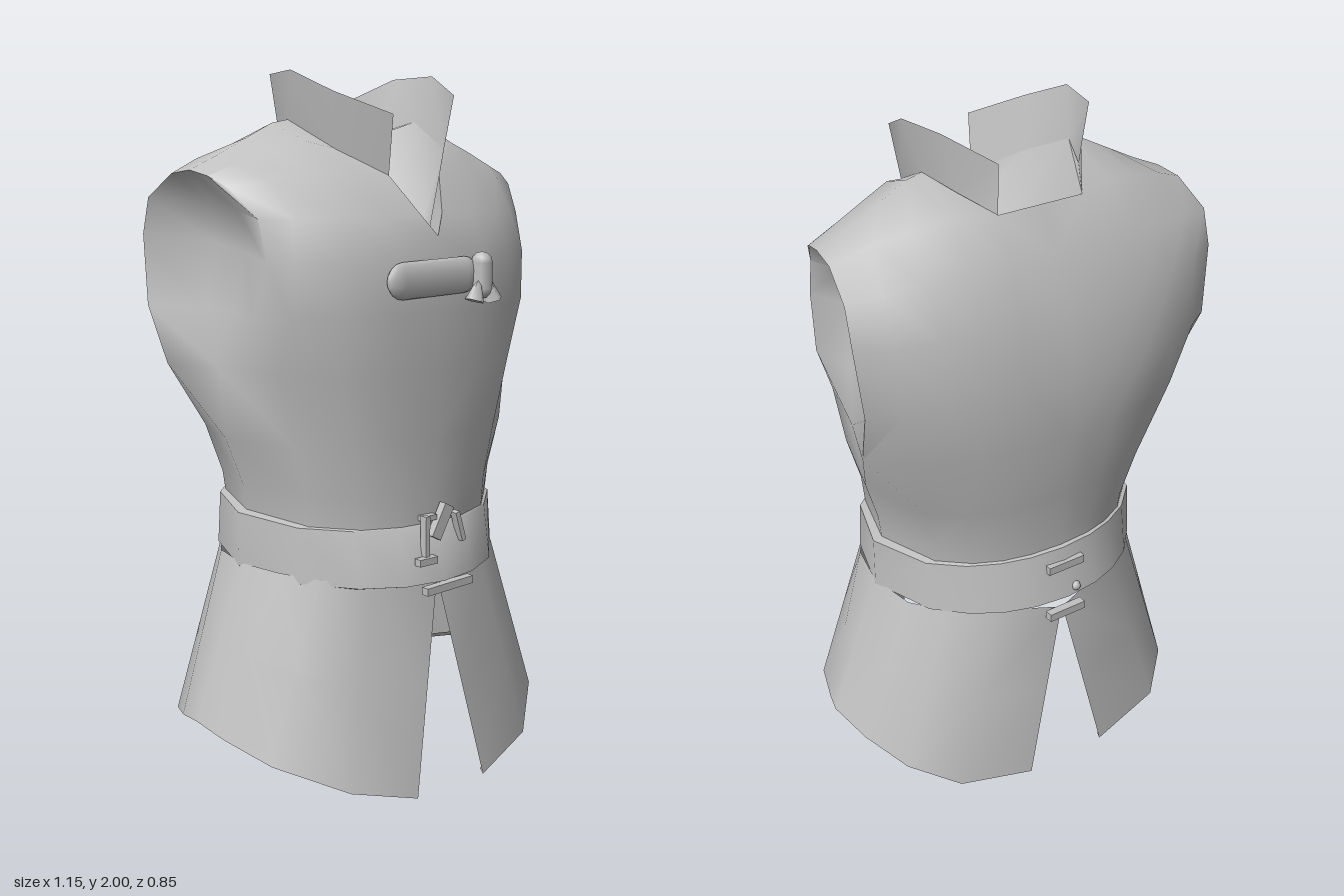
import * as THREE from 'three';
import { mergeVertices, toCreasedNormals } from 'three/addons/utils/BufferGeometryUtils.js';

const cloth = new THREE.MeshStandardMaterial({ color: 0xc0c0c0, side: THREE.DoubleSide });
cloth.name = 'grey cloth';

// Joins grids of points (each on the +x half) with their mirror images into one surface
function mirroredSurface(grids, crease) {
  const pos = [];
  for (const { rows, flip = false } of grids) {
    for (const side of [1, -1]) {
      const put = (p) => pos.push(p[0] * side, p[1], p[2]);
      const tri = (a, b, c) => ((side < 0) !== flip ? [a, c, b] : [a, b, c]).forEach(put);
      for (let r = 0; r + 1 < rows.length; r++) {
        for (let c = 0; c + 1 < rows[r].length; c++) {
          const [a, b, d, e] = [rows[r][c], rows[r][c + 1], rows[r + 1][c + 1], rows[r + 1][c]];
          tri(a, b, d);
          tri(a, d, e);
        }
      }
    }
  }
  const raw = new THREE.BufferGeometry();
  raw.setAttribute('position', new THREE.Float32BufferAttribute(pos, 3));
  const geo = mergeVertices(raw, 1e-4);
  geo.computeVertexNormals();
  return crease ? toCreasedNormals(geo, crease) : geo;
}

// Half ring around the body: front centre, +x side, back centre; n sets how square it is
function ring(y, w, zf, zb, n, s = -0.02, tilt = 0) {
  const point = (f, z) => {
    const depth = s + (z - s) * Math.pow(1 - Math.pow(f, n), 1 / n);
    return [w * f, y - depth * tilt, depth];
  };
  return [
    ...[0, 0.29, 0.58, 0.85, 1].map((f) => point(f, zf)),
    ...[0.85, 0.65, 0.45, 0.25, 0].map((f) => point(f, zb)),
  ];
}

const lerp = (a, b, t) => a.map((v, k) => v + (b[k] - v) * t);

export function createModel() {
  const model = new THREE.Group();
  const add = (name, geo, parent = model) => {
    const mesh = new THREE.Mesh(geo, cloth);
    mesh.name = name;
    parent.add(mesh);
    return mesh;
  };

  // Bodice: closed tube to the armpits, then chest, back and shoulder panels
  const armpit = [
    [0, 1.2, 0.35], [0.15, 1.2, 0.35], [0.3, 1.2, 0.31], [0.42, 1.2, 0.18], [0.47, 1.2, -0.03],
    [0.53, 1.2, -0.2], [0.4, 1.2, -0.32], [0.27, 1.2, -0.375], [0.14, 1.2, -0.397], [0, 1.2, -0.4],
  ];
  const lower = [
    ring(0.77, 0.39, 0.34, -0.362, 2.2, -0.02, 0.07),
    ring(0.86, 0.4, 0.342, -0.364, 2.25),
    ring(1.0, 0.445, 0.345, -0.38, 2.4, -0.04),
    armpit,
  ];
  const chest = [
    armpit.slice(0, 5),
    [[0, 1.36, 0.355], [0.15, 1.36, 0.355], [0.3, 1.36, 0.315], [0.42, 1.36, 0.24], [0.475, 1.35, 0.15]],
    [[0, 1.56, 0.34], [0.15, 1.5, 0.352], [0.3, 1.5, 0.31], [0.41, 1.5, 0.25], [0.46, 1.5, 0.195]],
    [[0.04, 1.62, 0.31], [0.15, 1.61, 0.31], [0.28, 1.61, 0.275], [0.39, 1.61, 0.22], [0.465, 1.61, 0.165]],
    [[0.09, 1.72, 0.24], [0.18, 1.73, 0.215], [0.29, 1.73, 0.175], [0.41, 1.71, 0.13], [0.505, 1.69, 0.09]],
  ];
  const back = [
    armpit.slice(4).reverse(),
    [[0, 1.37, -0.395], [0.14, 1.37, -0.392], [0.25, 1.37, -0.382], [0.36, 1.37, -0.36], [0.47, 1.37, -0.32], [0.55, 1.36, -0.265]],
    [[0, 1.55, -0.36], [0.14, 1.55, -0.36], [0.25, 1.55, -0.352], [0.36, 1.55, -0.335], [0.47, 1.55, -0.3], [0.567, 1.56, -0.25]],
    [[0, 1.69, -0.3], [0.14, 1.69, -0.3], [0.25, 1.69, -0.29], [0.36, 1.68, -0.275], [0.47, 1.67, -0.25], [0.565, 1.66, -0.22]],
    [[0, 1.8, -0.23], [0.13, 1.8, -0.23], [0.24, 1.81, -0.2], [0.35, 1.79, -0.18], [0.45, 1.765, -0.15], [0.55, 1.725, -0.12]],
  ];
  const shoulder = [
    chest[4],
    [[0.195, 1.79, 0.14], [0.26, 1.81, 0.1], [0.35, 1.785, 0.07], [0.45, 1.75, 0.045], [0.53, 1.72, 0.03]],
    [[0.23, 1.87, -0.03], [0.28, 1.86, -0.035], [0.36, 1.82, -0.04], [0.45, 1.775, -0.04], [0.542, 1.735, -0.04]],
    back[4].slice(1),
  ];
  // Hollows that close the armholes
  const hollow = (k, x) => {
    const [front, rear] = [chest[k][4], back[k][5]];
    const inner = [1 / 3, 2 / 3].map((t) => [x, ...lerp(front, rear, t).slice(1)]);
    return [front, ...inner, rear];
  };
  const armhole = [
    Array(4).fill(armpit[4]),
    hollow(1, 0.445), hollow(2, 0.425), hollow(3, 0.44),
    shoulder.map((row) => row[4]),
  ];
  add('bodice', mirroredSurface([
    { rows: lower }, { rows: chest }, { rows: back, flip: true }, { rows: shoulder }, { rows: armhole },
  ], Math.PI / 2.5));

  // Dished neck lining from the nape down to the front notch
  const neckRim = [chest[2][0], chest[3][0], ...shoulder.map((row) => row[0])];
  const dish = (z, dip) => 1.8 - (z + 0.23) * 0.42 - dip * Math.sin((Math.PI * (z + 0.23)) / 0.57);
  add('neckLining', mirroredSurface([{
    rows: neckRim.map((p) => [[0, dish(p[2], 0.1), p[2]], [p[0] * 0.6, dish(p[2], 0.07), p[2]], p]),
  }]));

  // Stand-up collar, open at the front and at the nape
  add('collar', mirroredSurface([{
    rows: [
      [[0.09, 1.72, 0.24], [0.195, 1.79, 0.14], [0.23, 1.87, -0.03], [0.19, 1.84, -0.13], [0.13, 1.8, -0.23]],
      [[0.1, 1.88, 0.27], [0.215, 1.94, 0.16], [0.255, 2.0, 0.02], [0.225, 1.995, -0.12], [0.125, 1.93, -0.225]],
    ],
  }]));

  // Waistband: stands out at the hips on top, at the centre front and back below
  add('waistband', mirroredSurface([{
    rows: [
      ring(0.618, 0.405, 0.35, -0.375, 2, -0.02, 0.07),
      ring(0.63, 0.421, 0.383, -0.41, 2, -0.02, 0.07),
      ring(0.785, 0.42, 0.346, -0.374, 2.05, -0.02, 0.07),
      ring(0.79, 0.392, 0.34, -0.362, 2.15, -0.02, 0.07),
    ],
  }], Math.PI / 4));

  // Flared skirt, slit at the front and back
  const skirtTop = [
    [0.002, 0.6, 0.352], [0.2, 0.62, 0.312], [0.32, 0.63, 0.235], [0.39, 0.64, 0.13], [0.417, 0.64, -0.01],
    [0.39, 0.64, -0.16], [0.32, 0.65, -0.265], [0.2, 0.65, -0.34], [0.002, 0.6, -0.378],
  ];
  const skirtHem = [
    [0.125, 0, 0.422], [0.33, 0.06, 0.38], [0.495, 0.135, 0.24], [0.55, 0.175, 0.08], [0.577, 0.205, -0.01],
    [0.545, 0.175, -0.14], [0.48, 0.135, -0.28], [0.36, 0.09, -0.39], [0.13, 0.045, -0.425],
  ];
  add('skirt', mirroredSurface([{
    rows: [
      skirtHem.map(([x, y, z]) => [x * 0.98, y + 0.015, z * 0.975]),
      skirtHem,
      skirtHem.map((p, i) => lerp(p, skirtTop[i], 0.5)),
      skirtTop,
    ],
  }], Math.PI / 3));

  // Chest strap with a knot
  const strap = add('chestStrap', new THREE.CapsuleGeometry(0.05, 0.22, 4, 10));
  strap.rotation.z = Math.PI / 2 + 0.03;
  strap.scale.z = 0.4;
  strap.position.set(-0.03, 1.45, 0.358);
  const knot = new THREE.Group();
  knot.name = 'strapKnot';
  knot.position.set(0.13, 1.45, 0.375);
  model.add(knot);
  add('knotLoop', new THREE.CapsuleGeometry(0.03, 0.07, 3, 8), knot);
  for (const s of [-1, 1]) {
    const end = add('knotEnd', new THREE.ConeGeometry(0.028, 0.08, 5), knot);
    end.position.set(s * 0.022, -0.03, 0.01);
    end.rotation.z = s * 0.3;
  }

  // Buckle and bars: x, y, z, width, height, turn
  const bars = [
    ['buckleSide', -0.055, 0.73, 0.362, 0.015, 0.13, 0],
    ['buckleTop', -0.035, 0.785, 0.348, 0.05, 0.015, 0],
    ['buckleBottom', -0.06, 0.67, 0.374, 0.065, 0.02, 0],
    ['buckleTongue', 0.005, 0.77, 0.357, 0.035, 0.1, -0.5],
    ['buckleFarSide', 0.075, 0.745, 0.355, 0.015, 0.09, 0.3],
    ['frontBar', 0.02, 0.585, 0.375, 0.17, 0.022, 0.04],
    ['backUpperBar', 0, 0.76, -0.383, 0.12, 0.025, 0],
    ['backLowerBar', 0, 0.6, -0.395, 0.12, 0.025, 0],
  ];
  for (const [name, x, y, z, w, h, turn] of bars) {
    const bar = add(name, new THREE.BoxGeometry(w, h, 0.024));
    bar.position.set(x, y, z);
    bar.rotation.z = turn;
  }
  const stud = add('backStud', new THREE.SphereGeometry(0.015, 8, 6));
  stud.position.set(-0.03, 0.68, -0.4);

  return model;
}
